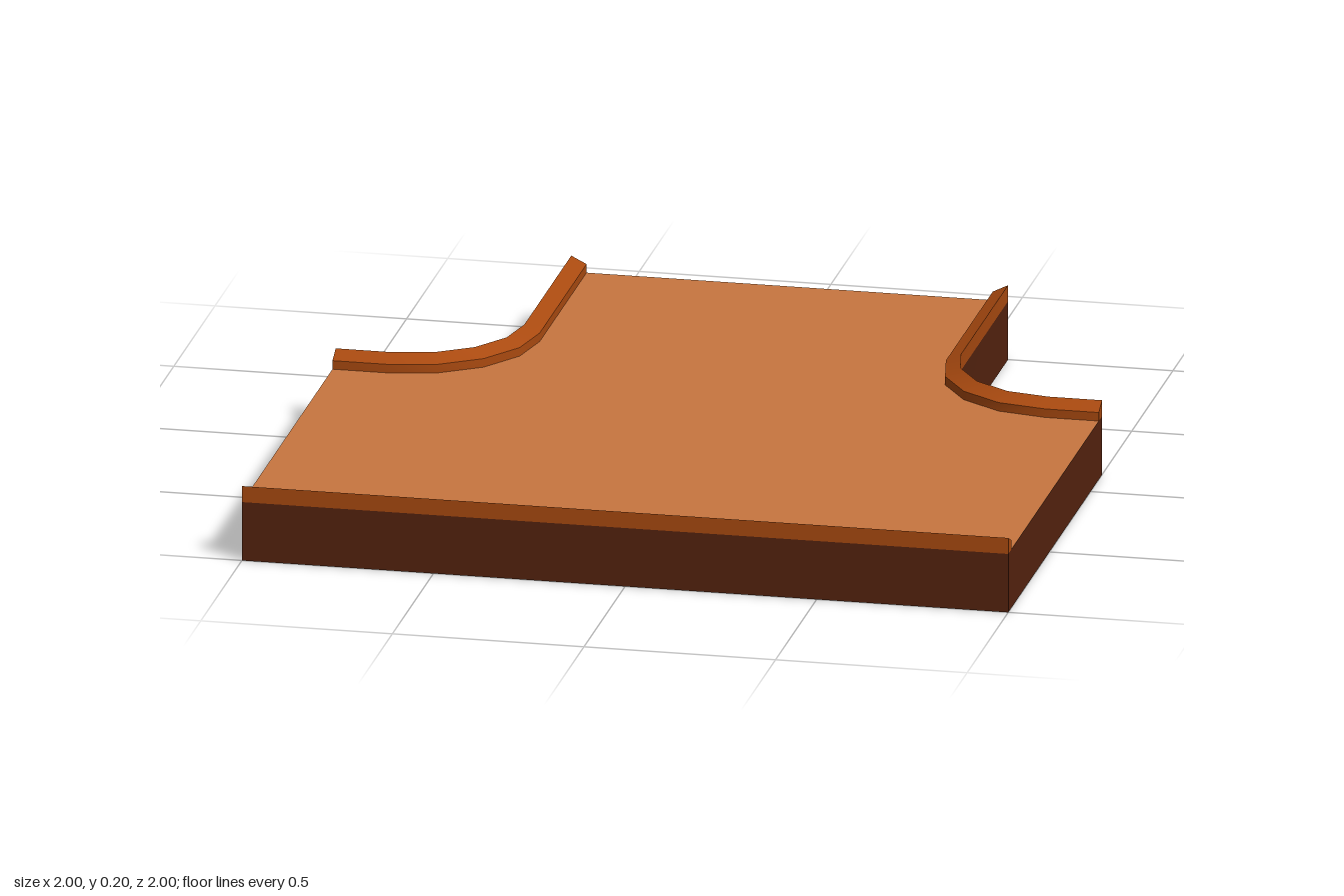
import * as THREE from 'three';
import { toCreasedNormals } from 'three/addons/utils/BufferGeometryUtils.js';

const FLOOR_Y = 0.157, RIM_TOP = 0.2, RIM_INNER = 0.18;

function material(name, color) {
  const m = new THREE.MeshStandardMaterial({ color, side: THREE.DoubleSide });
  m.name = name;
  return m;
}

// Surface through a row of equal-length cross-sections; optional end caps.
function loft(sections, capped) {
  const n = sections[0].length, index = [];
  for (let i = 0; i < sections.length - 1; i++) {
    for (let j = 0; j < n - 1; j++) {
      const a = i * n + j, b = a + n;
      index.push(a, b, b + 1, a, b + 1, a + 1);
    }
  }
  if (capped) {
    const last = (sections.length - 1) * n;
    for (let j = 1; j < n - 1; j++) {
      index.push(0, j, j + 1, last, last + j + 1, last + j);
    }
  }
  const g = new THREE.BufferGeometry();
  g.setAttribute('position', new THREE.Float32BufferAttribute(sections.flat(2), 3));
  g.setIndex(index);
  return toCreasedNormals(g, 0.6);
}

// Edge of one inside corner, from the side end to the back end, as [x, z].
function cornerPath(side, radius) {
  const cx = 0.86, cz = -0.43, pts = [[side, cz + radius]];
  for (let k = 0; k <= 4; k++) {
    const a = (k * Math.PI) / 8;
    pts.push([side * (cx - radius * Math.sin(a)), cz + radius * Math.cos(a)]);
  }
  pts.push([side * (cx - radius), -1]);
  return pts;
}

export function createModel() {
  const group = new THREE.Group();
  const floorMat = material('floor orange', 0xc87640);
  const rimMat = material('rim rust', 0xaa4a10);
  const wallMat = material('wall brown', 0x55230f);

  const add = (name, geometry, mat) => {
    const mesh = new THREE.Mesh(geometry, mat);
    mesh.name = name;
    group.add(mesh);
  };

  // Outer and inner edges of the three raised rims
  const rims = [
    ['leftRim', cornerPath(1, 0.29), cornerPath(1, 0.33)],
    ['rightRim', cornerPath(-1, 0.29), cornerPath(-1, 0.33)],
    ['frontRim', [[-1, 1], [1, 1]], [[-1, 0.958], [1, 0.958]]],
  ];

  // Rims: hollow, sloping down inwards, with the skirt wall under the outer edge
  for (const [name, outer, inner] of rims) {
    const sections = outer.map(([ox, oz], i) => {
      const [ix, iz] = inner[i];
      return [[ox, FLOOR_Y, oz], [ox, RIM_TOP, oz], [ix, RIM_INNER, iz], [ix, FLOOR_Y, iz]];
    });
    add(name, loft(sections, true), rimMat);
    add(name + 'Wall', loft(outer.map(([x, z]) => [[x, 0, z], [x, FLOOR_Y, z]])), wallMat);
  }

  // Straight skirt walls below the three open ends
  const ends = {
    leftEndWall: [[1, 1], [1, -0.14]],
    rightEndWall: [[-1, -0.14], [-1, 1]],
    backEndWall: [[0.57, -1], [-0.57, -1]],
  };
  for (const [name, path] of Object.entries(ends)) {
    add(name, loft(path.map(([x, z]) => [[x, 0, z], [x, FLOOR_Y, z]])), wallMat);
  }

  // Floor sheet inside the rims
  const outline = [[-1, 0.958], [1, 0.958], ...rims[0][2], ...rims[1][2].slice().reverse()];
  const shape = new THREE.Shape(outline.map(([x, z]) => new THREE.Vector2(x, -z)));
  const floor = new THREE.ShapeGeometry(shape);
  floor.rotateX(-Math.PI / 2).translate(0, FLOOR_Y, 0);
  add('floor', floor, floorMat);

  return group;
}
